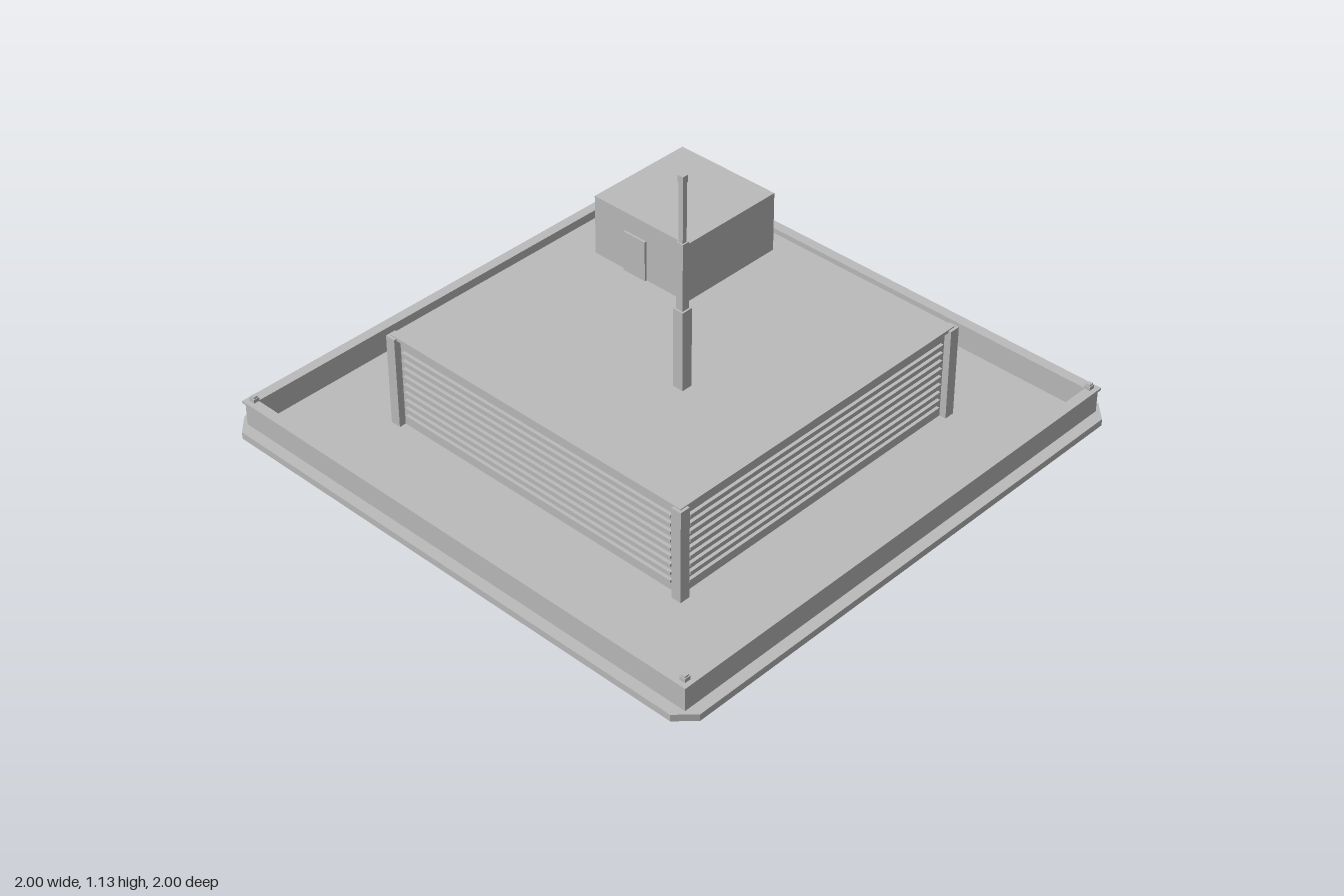
import * as THREE from 'three';

export function createModel() {
  const model = new THREE.Group();
  model.name = 'rooftop';
  const concrete = new THREE.MeshStandardMaterial({ color: 0xbbbbbb });
  concrete.name = 'concrete grey';

  function add(name, geometry, parent = model) {
    const mesh = new THREE.Mesh(geometry, concrete);
    mesh.name = name;
    parent.add(mesh);
    return mesh;
  }
  // Box given by its limits on each axis
  function box(name, x0, x1, y0, y1, z0, z1, parent) {
    const mesh = add(name, new THREE.BoxGeometry(x1 - x0, y1 - y0, z1 - z0), parent);
    mesh.position.set((x0 + x1) / 2, (y0 + y1) / 2, (z0 + z1) / 2);
    return mesh;
  }
  // Horizontal plate extruded upwards from y0 to y1
  function plate(name, shape, y0, y1, parent) {
    const g = new THREE.ExtrudeGeometry(shape, { depth: y1 - y0, bevelEnabled: false });
    g.rotateX(-Math.PI / 2).translate(0, y0, 0);
    return add(name, g, parent);
  }
  function squareRing(outer, inner) {
    const path = (s) => [[-s, -s], [s, -s], [s, s], [-s, s]].map(([x, y]) => new THREE.Vector2(x, y));
    const shape = new THREE.Shape(path(outer));
    shape.holes.push(new THREE.Path(path(inner)));
    return shape;
  }

  // Base slab with cut corners
  const c = 0.94;
  const outline = [[-c, -1], [c, -1], [1, -c], [1, c], [c, 1], [-c, 1], [-1, c], [-1, -c]];
  plate('baseSlab', new THREE.Shape(outline.map(([x, y]) => new THREE.Vector2(x, y))), 0, 0.025);

  // Parapet with a slightly overhanging coping
  plate('parapet', squareRing(0.96, 0.932), 0.025, 0.11);
  plate('parapetCoping', squareRing(0.967, 0.93), 0.11, 0.118);

  // Louvred block
  box('blockWalls', -0.61, 0.61, 0.025, 0.36, -0.61, 0.61);
  box('blockRoof', -0.625, 0.625, 0.358, 0.37, -0.625, 0.625);

  // Slats on all four sides
  for (let side = 0; side < 4; side++) {
    const louvres = new THREE.Group();
    louvres.name = 'louvres';
    louvres.rotation.y = side * Math.PI / 2;
    model.add(louvres);
    for (let i = 0; i < 9; i++) {
      const y = 0.315 - i * 0.031;
      box('slat', -0.58, 0.58, y - 0.005, y + 0.005, 0.605, 0.622, louvres);
    }
  }

  // L-shaped corner posts and parapet corner knobs
  for (let i = 0; i < 4; i++) {
    const corner = new THREE.Group();
    corner.name = 'corner';
    corner.rotation.y = i * Math.PI / 2;
    model.add(corner);
    const l = [[0.635, -0.635], [0.635, -0.597], [0.6, -0.597], [0.6, -0.6], [0.597, -0.6], [0.597, -0.635]];
    plate('cornerPost', new THREE.Shape(l.map(([x, y]) => new THREE.Vector2(x, y))), 0.025, 0.366, corner);
    box('parapetKnob', 0.928, 0.95, 0.115, 0.132, 0.928, 0.95, corner);
    box('knobCap', 0.931, 0.947, 0.132, 0.138, 0.931, 0.947, corner);
  }

  // Stair house and its door
  box('stairHouse', -0.48, -0.073, 0.37, 0.59, -0.55, -0.14);
  box('door', -0.345, -0.25, 0.37, 0.52, -0.14, -0.132);

  // Stepped square mast
  const mast = [[0.37, 0.66, 0.02], [0.66, 0.9, 0.0135], [0.9, 1.11, 0.0085], [1.11, 1.135, 0.011]];
  for (const [y0, y1, r] of mast) {
    box('mastSection', 0.22 - r, 0.22 + r, y0, y1, 0.19 - r, 0.19 + r);
  }
  return model;
}
